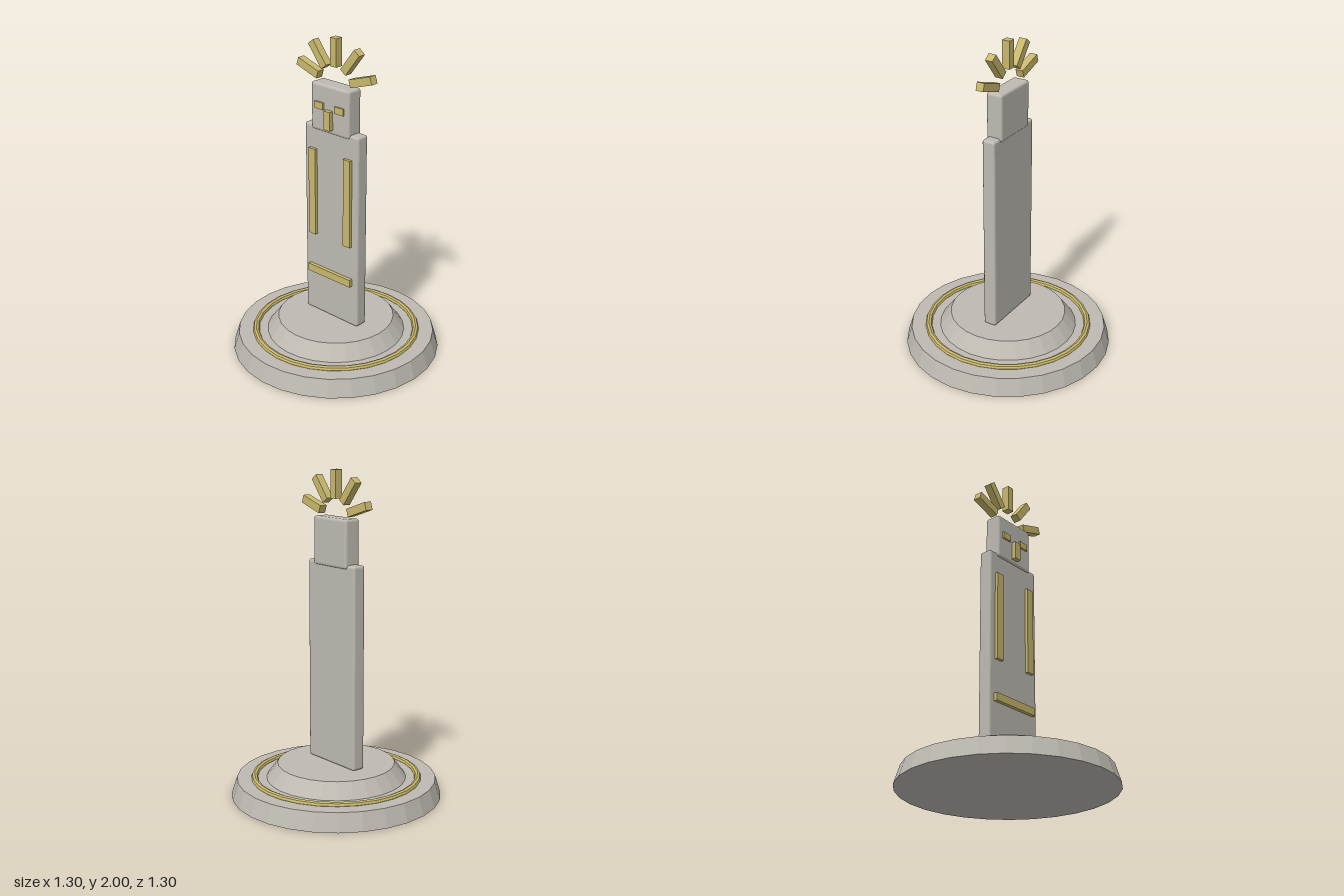
import * as THREE from 'three';
import { RoundedBoxGeometry } from 'three/addons/geometries/RoundedBoxGeometry.js';

export function createModel() {
  const model = new THREE.Group();
  model.name = 'statue';
  const stone = new THREE.MeshStandardMaterial({ name: 'stone', color: 0xbebab2, flatShading: true });
  const gold = new THREE.MeshStandardMaterial({ name: 'gold', color: 0xc8b86c, flatShading: true });

  const add = (name, geometry, material, x, y, z) => {
    const mesh = new THREE.Mesh(geometry, material);
    mesh.name = name;
    mesh.position.set(x, y, z);
    model.add(mesh);
    return mesh;
  };
  const goldBox = (name, w, h, d, x, y, z) =>
    add(name, new THREE.BoxGeometry(w, h, d), gold, x, y, z);

  // Stepped round plinth with an inlaid ring
  const SIDES = 28;
  add('lowerPlinth', new THREE.CylinderGeometry(0.616, 0.65, 0.11, SIDES), stone, 0, 0.055, 0);
  add('upperPlinth', new THREE.CylinderGeometry(0.363, 0.435, 0.095, SIDES), stone, 0, 0.1545, 0);
  const ring = add('plinthRing', new THREE.TorusGeometry(0.507, 0.02, 8, SIDES), gold, 0, 0.112, 0);
  ring.rotation.x = -Math.PI / 2;

  // Slab body and head
  add('body', new RoundedBoxGeometry(0.43, 1.25, 0.085, 2, 0.015), stone, 0, 0.827, 0);
  add('head', new RoundedBoxGeometry(0.302, 0.292, 0.105, 2, 0.015), stone, 0, 1.574, 0);

  // Raised trim on the front
  for (const [side, s] of [['left', 1], ['right', -1]]) {
    goldBox(side + 'Arm', 0.054, 0.562, 0.025, s * 0.141, 1.022, 0.0495);
    goldBox(side + 'Eye', 0.068, 0.042, 0.022, s * 0.08, 1.589, 0.053);
  }
  goldBox('belt', 0.347, 0.048, 0.026, 0, 0.501, 0.053);
  goldBox('nose', 0.048, 0.116, 0.04, 0, 1.515, 0.061);

  // Fan of crown rays floating above the head: [x, y, tilt from vertical]
  const rays = [[0, 1.915, 0], [0.128, 1.88, 38], [0.208, 1.782, 72]];
  rays.forEach(([x, y, tilt], i) => {
    for (const s of i ? [1, -1] : [1]) {
      const ray = goldBox('crownRay', 0.049, 0.17, 0.049, s * x, y, 0);
      ray.rotation.z = -s * THREE.MathUtils.degToRad(tilt);
    }
  });

  return model;
}
